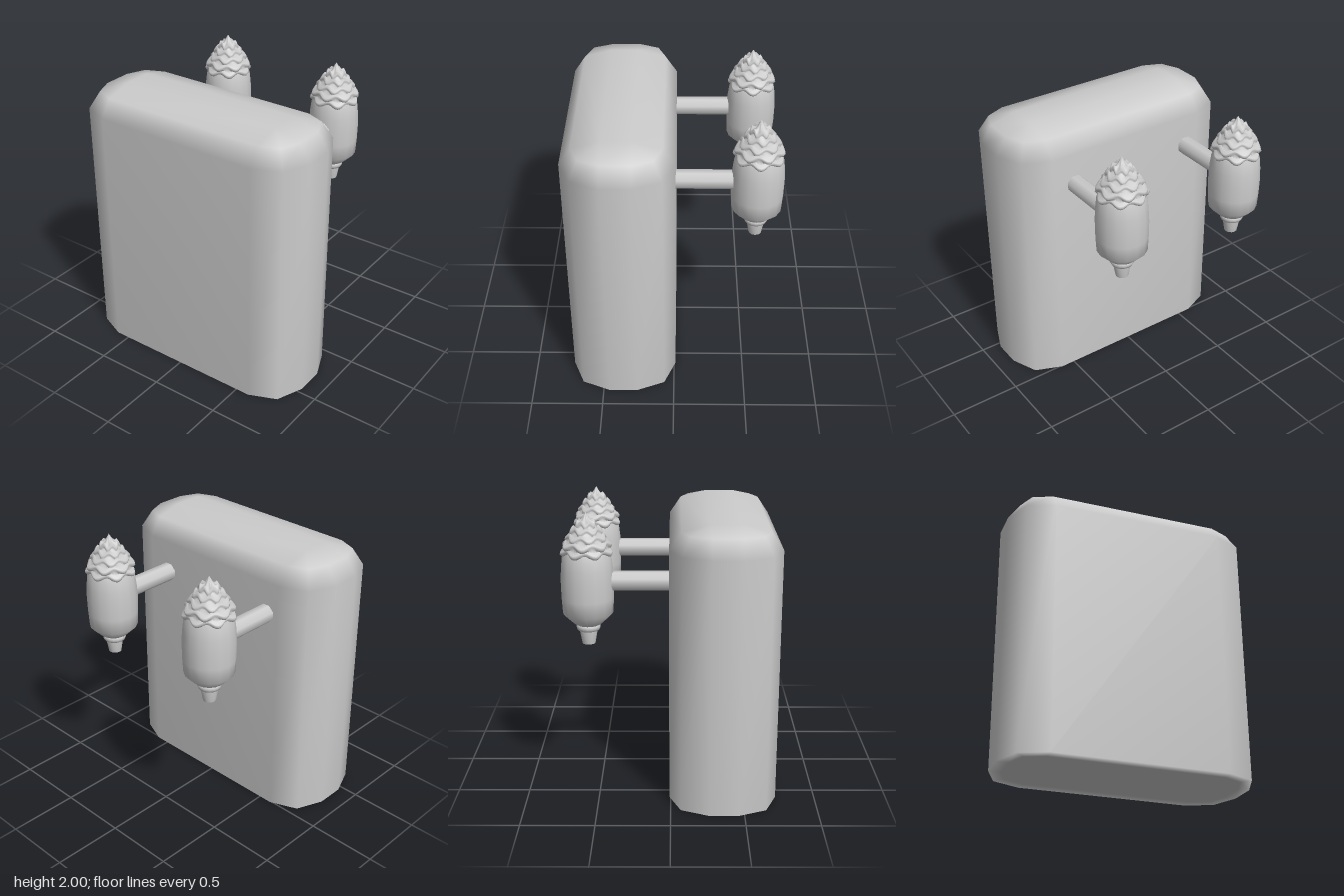
import * as THREE from 'three';
import { mergeVertices, toCreasedNormals } from 'three/addons/utils/BufferGeometryUtils.js';

const grey = new THREE.MeshStandardMaterial({ color: 0xcccccc });

function addMesh(parent, name, geometry) {
  const mesh = new THREE.Mesh(geometry, grey);
  mesh.name = name;
  parent.add(mesh);
  return mesh;
}

// Weld seams so that normals run smoothly all the way round
function smooth(geometry) {
  geometry.deleteAttribute('uv');
  geometry.deleteAttribute('normal');
  const welded = mergeVertices(geometry, 1e-4);
  welded.computeVertexNormals();
  return welded;
}

// Slab with faceted rounded corners, a domed top and a flat base, built from rings
function slabGeometry() {
  const halfX = 0.6, halfZ = 0.1, centreZ = 0.36;
  const rings = [[0, 0], [0, 0.19], [0, 0.27], [1.77, 0.27], [1.89, 0.19], [1.94, 0]]; // [y, corner radius]
  const signs = [[1, 1], [-1, 1], [-1, -1], [1, -1]];
  const positions = [], index = [], n = 12;
  for (const [y, r] of rings) {
    signs.forEach(([sx, sz], corner) => {
      for (let k = 0; k < 3; k++) {
        const a = corner * Math.PI / 2 + k * Math.PI / 4;
        positions.push(sx * halfX + r * Math.cos(a), y, centreZ + sz * halfZ + r * Math.sin(a));
      }
    });
  }
  for (let i = 0; i < rings.length - 1; i++) {
    for (let j = 0; j < n; j++) {
      const a = i * n + j, b = i * n + (j + 1) % n;
      index.push(a, a + n, b, b, a + n, b + n);
    }
  }
  const top = (rings.length - 1) * n;
  index.push(0, 3, 6, 0, 6, 9, top, top + 6, top + 3, top, top + 9, top + 6);
  const geometry = new THREE.BufferGeometry();
  geometry.setAttribute('position', new THREE.Float32BufferAttribute(positions, 3));
  geometry.setIndex(index);
  return smooth(geometry);
}

function lathe(points, sides) {
  return new THREE.LatheGeometry(points.map(([r, y]) => new THREE.Vector2(r, y)), sides);
}

// Ruffled tiers narrowing to a point, each tier turned against the one below
function swirlGeometry() {
  const profile = [[0.13, 1.715]];
  const tiers = [[0.165, 1.745], [0.158, 1.79], [0.132, 1.835], [0.103, 1.88], [0.07, 1.92]];
  tiers.forEach(([r, y]) => profile.push(
    [r * 0.94, y - 0.018], [r, y - 0.004], [r * 0.98, y + 0.01], [r * 0.86, y + 0.023]));
  profile.push([0.036, 1.945], [0.02, 1.965], [0.009, 1.985], [0, 2]);
  const geometry = lathe(profile, 56);
  const p = geometry.attributes.position;
  const rows = profile.length;
  for (let i = 0; i < p.count; i++) {
    const row = i % rows;
    const tier = Math.floor((row - 1) / 4);
    const x = p.getX(i), z = p.getZ(i);
    const wave = Math.cos(7 * Math.atan2(z, x) + tier * 2.4);
    const fade = row === 0 || row === rows - 1 ? 0 : 1;
    const scale = 1 + 0.065 * wave * fade;
    const lift = row > 0 && tier < 5 ? 0.011 * wave : 0;
    p.setXYZ(i, x * scale, p.getY(i) - lift, z * scale);
  }
  return smooth(geometry);
}

export function createModel() {
  const model = new THREE.Group();
  addMesh(model, 'body', slabGeometry());

  const armGeometry = new THREE.CylinderGeometry(0.066, 0.066, 0.5, 8);
  armGeometry.rotateY(Math.PI / 8);
  armGeometry.rotateX(Math.PI / 2);
  const podGeometry = toCreasedNormals(lathe([
    [0.071, 1.24], [0.1, 1.258], [0.168, 1.325], [0.174, 1.43], [0.176, 1.55],
    [0.171, 1.63], [0.163, 1.7], [0.15, 1.74], [0, 1.75],
  ], 16), 0.9);
  const collarGeometry = lathe([
    [0.05, 1.2], [0.072, 1.205], [0.08, 1.22], [0.08, 1.235], [0.072, 1.25], [0.05, 1.255],
  ], 16);
  const nozzleGeometry = toCreasedNormals(
    lathe([[0, 1.13], [0.036, 1.13], [0.044, 1.11], [0.06, 1.2], [0.06, 1.22]], 12), 0.7);
  const swirl = swirlGeometry();

  // Two topped pods on arms behind the body
  for (const [side, x] of [['left', 0.43], ['right', -0.503]]) {
    const assembly = new THREE.Group();
    assembly.name = side + 'PodAssembly';
    assembly.position.set(x, 0, -0.55);
    addMesh(assembly, 'arm', armGeometry).position.set(0, 1.542, 0.33);
    addMesh(assembly, 'pod', podGeometry);
    addMesh(assembly, 'collar', collarGeometry);
    addMesh(assembly, 'nozzle', nozzleGeometry);
    addMesh(assembly, 'swirlTopping', swirl);
    model.add(assembly);
  }
  return model;
}
